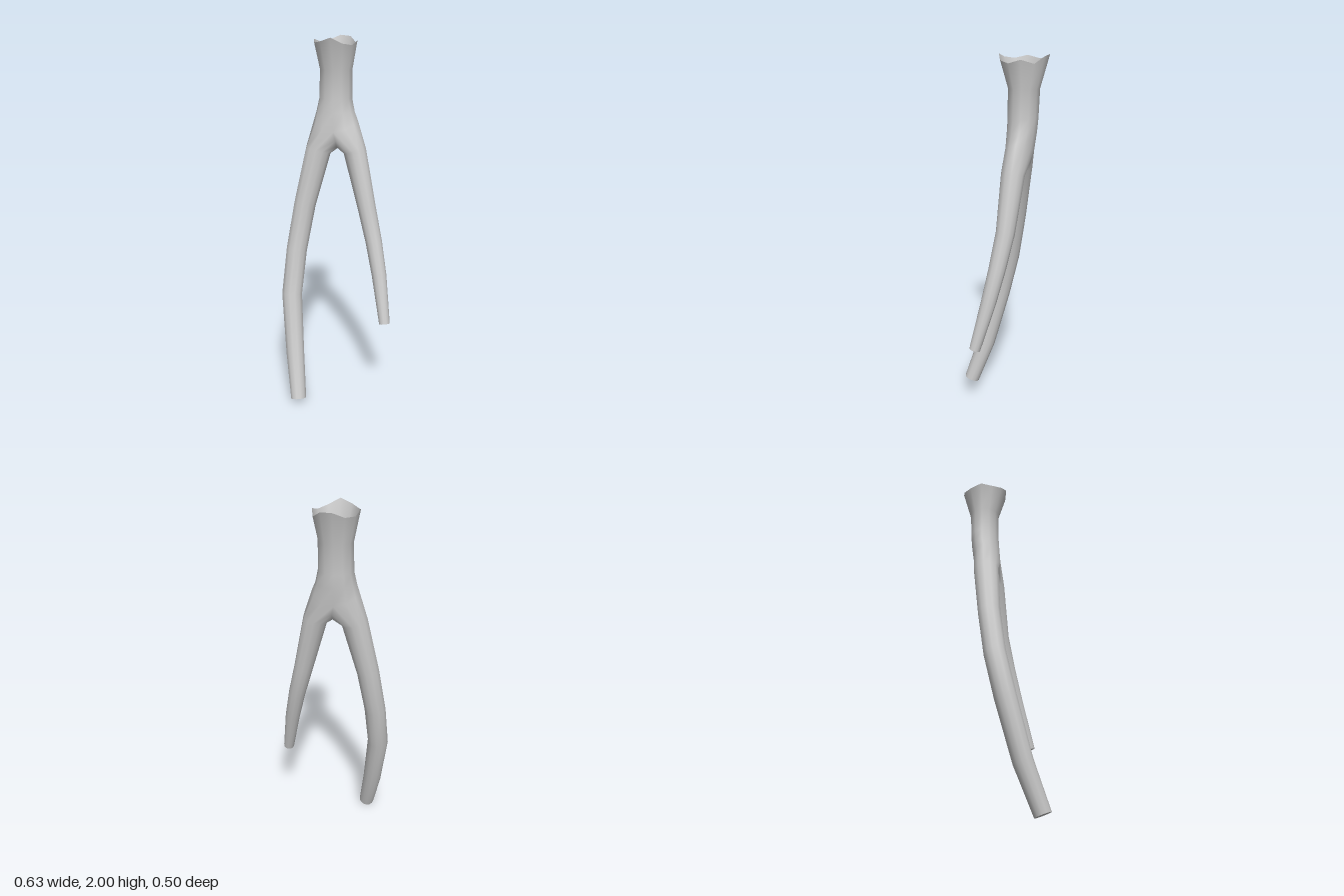
import * as THREE from 'three';

const N = 12; // sides of every ring
const angle = (k) => (k / N) * Math.PI * 2;
const V = (x, y, z) => new THREE.Vector3(x, y, z);

export function createModel() {
  const group = new THREE.Group();
  const material = new THREE.MeshStandardMaterial({ color: 0xcccccc, side: THREE.DoubleSide });
  const pos = [], index = [];

  const addPoint = (p) => pos.push(p.x, p.y, p.z) / 3 - 1;
  const makeRing = (fn) => Array.from({ length: N }, (_, k) => addPoint(fn(angle(k), k)));
  const bridge = (upper, lower) => {
    for (let k = 0; k < N; k++) {
      const n = (k + 1) % N;
      index.push(upper[k], upper[n], lower[n], upper[k], lower[n], lower[k]);
    }
  };

  // Trunk: ragged flared rim, then rings [cx, y, cz, rx, rz] down to the fork
  const rimY = [1.98, 1.96, 1.97, 2, 1.98, 1.97, 1.985, 1.97, 1.975, 2, 1.995, 1.96];
  const trunk = [
    [-0.035, 1.97, -0.123, 0.116, 0.131],
    [-0.033, 1.83, -0.123, 0.088, 0.084],
    [-0.034, 1.68, -0.12, 0.09, 0.081],
    [-0.034, 1.61, -0.115, 0.105, 0.08],
  ];
  let last = null;
  trunk.forEach(([cx, y, cz, rx, rz], i) => {
    const ring = makeRing((a, k) =>
      V(cx + rx * Math.cos(a), i === 0 ? rimY[k] : y, cz + rz * Math.sin(a)));
    if (last) bridge(last, ring);
    last = ring;
  });

  // Fork: the ring dips at its front and back, where a saddle line splits it
  const cz = -0.105, rz = 0.077;
  const fork = makeRing((a) => V(-0.03 + 0.122 * Math.cos(a),
    1.56 - 0.05 * Math.sin(a) ** 2, cz + rz * Math.sin(a)));
  bridge(last, fork);
  const saddle = {};
  for (let k = 4; k <= 8; k++) {
    const a = angle(k);
    saddle[k] = addPoint(V(-0.02, 1.51 - 0.1 * Math.abs(Math.cos(a)), cz + rz * 0.95 * Math.sin(a)));
  }
  const leftStart = fork.map((id, k) => (k > 3 && k < 9 ? saddle[k] : id));
  const rightStart = fork.map((id, k) => (k < 3 || k > 9 ? saddle[(18 - k) % N] : id));

  // Branches: stations [x, y, z, radius], rings square to the path
  const branches = {
    left: { start: leftStart, path: [
      [0.078, 1.4, -0.088, 0.063], [0.15, 1.1, -0.062, 0.051], [0.199, 0.91, -0.027, 0.046],
      [0.238, 0.73, 0.013, 0.041], [0.283, 0.47, 0.08, 0.03]] },
    right: { start: rightStart, path: [
      [-0.125, 1.4, -0.09, 0.07], [-0.196, 1.1, -0.056, 0.061], [-0.238, 0.84, -0.016, 0.059],
      [-0.255, 0.59, 0.042, 0.058], [-0.221, 0.265, 0.122, 0.052], [-0.183, 0.018, 0.207, 0.044]] },
  };
  const ends = [];
  for (const [side, { start, path }] of Object.entries(branches)) {
    const centres = path.map(([x, y, z]) => V(x, y, z));
    let previous = start;
    path.forEach((station, i) => {
      const before = centres[Math.max(i - 1, 0)];
      const after = centres[Math.min(i + 1, path.length - 1)];
      const t = after.clone().sub(before).normalize();
      const u = V(1, 0, 0).addScaledVector(t, -t.x).normalize();
      const v = t.clone().cross(u);
      const ring = makeRing((a) => centres[i].clone()
        .addScaledVector(u, station[3] * Math.cos(a))
        .addScaledVector(v, station[3] * Math.sin(a)));
      bridge(previous, ring);
      previous = ring;
      if (i === path.length - 1) ends.push({ side, centre: centres[i], t, radius: station[3] });
    });
  }

  const geometry = new THREE.BufferGeometry();
  geometry.setAttribute('position', new THREE.Float32BufferAttribute(pos, 3));
  geometry.setIndex(index);
  geometry.computeVertexNormals();
  const tube = new THREE.Mesh(geometry, material);
  tube.name = 'forkedTube';
  group.add(tube);

  // Flat caps at the lower ends
  for (const { side, centre, t, radius } of ends) {
    const cap = new THREE.Mesh(new THREE.CircleGeometry(radius, N), material);
    cap.name = side + 'EndCap';
    cap.position.copy(centre);
    // Line the cap's corners up with the last ring
    const u = V(1, 0, 0).addScaledVector(t, -t.x).normalize();
    cap.quaternion.setFromRotationMatrix(new THREE.Matrix4().makeBasis(u, t.clone().cross(u), t));
    group.add(cap);
  }
  return group;
}
